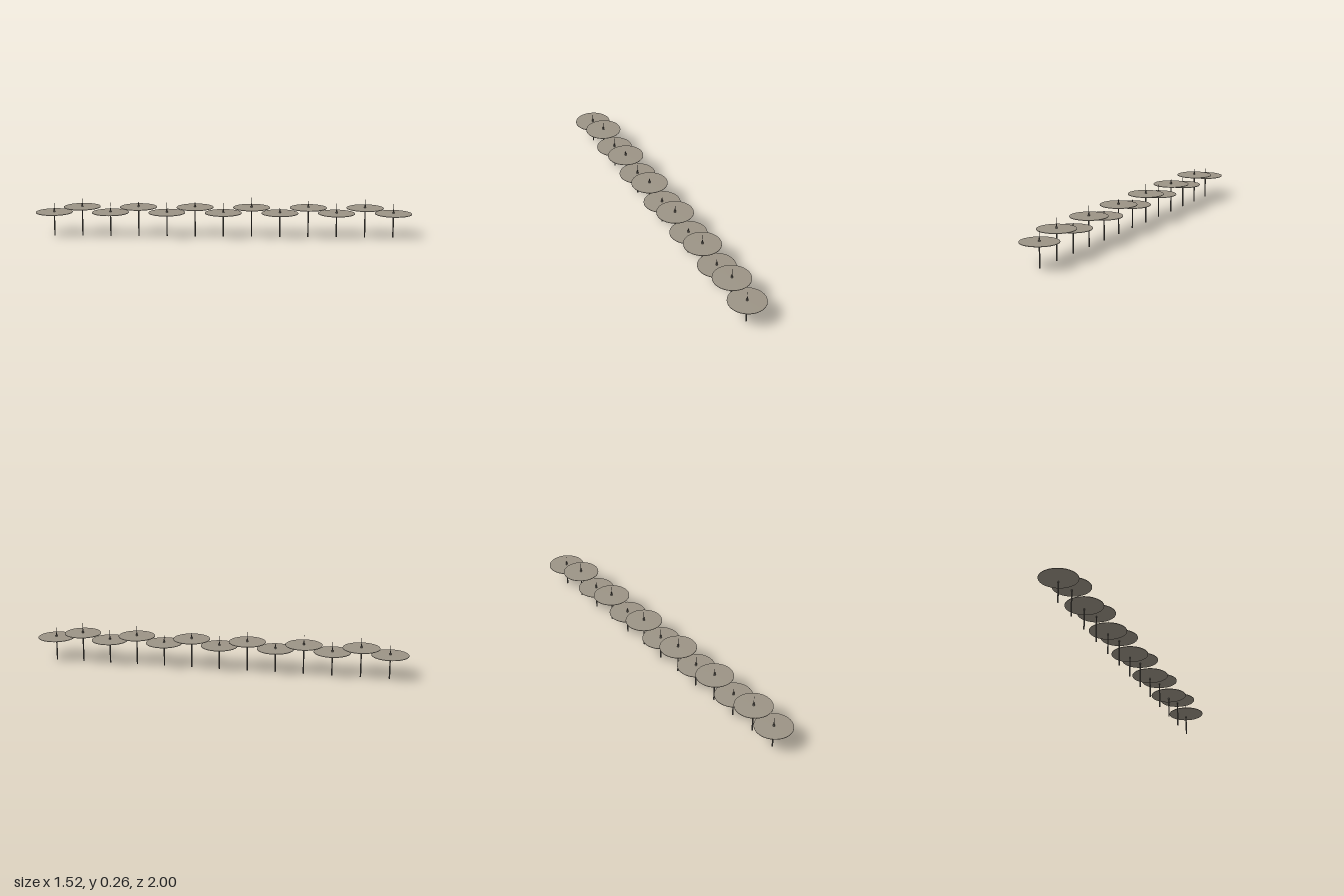
import * as THREE from 'three';

const COUNT = 13;
const STEP_X = 0.1067;
const STEP_Z = 0.1468;
const RADIUS = 0.118;

export function createModel() {
  const model = new THREE.Group();
  model.name = 'canopyRow';
  const canopyMat = new THREE.MeshStandardMaterial({ color: 0x9c9486 });
  const poleMat = new THREE.MeshStandardMaterial({ color: 0x6b665e });

  const add = (group, name, geometry, material, y) => {
    const mesh = new THREE.Mesh(geometry, material);
    mesh.name = name;
    mesh.position.y = y;
    group.add(mesh);
  };

  // Shallow inverted cone with a thin rim and a nearly flat top
  const canopyGeo = new THREE.LatheGeometry([
    [0, -0.022], [0.012, -0.021], [RADIUS, -0.003],
    [RADIUS, -0.003], [RADIUS, 0], [RADIUS, 0], [0, 0.001],
  ].map(([x, y]) => new THREE.Vector2(x, y)), 48);

  for (let i = 0; i < COUNT; i++) {
    const k = i - (COUNT - 1) / 2;
    const high = i % 2 === 1;
    const top = high ? 0.192 : 0.156;
    const tip = high ? 0.257 : 0.219;
    const umbrella = new THREE.Group();
    umbrella.name = 'canopy' + (i + 1);
    umbrella.position.set(k * STEP_X, 0, k * STEP_Z);

    // Post from the ground to the underside
    const postHeight = top - 0.012;
    add(umbrella, 'post', new THREE.CylinderGeometry(0.004, 0.0045, postHeight, 12), poleMat, postHeight / 2);
    add(umbrella, 'canopyDish', canopyGeo, canopyMat, top);

    // Tapered finial carrying a thin needle
    add(umbrella, 'finial', new THREE.CylinderGeometry(0.0015, 0.007, 0.03, 12), poleMat, top + 0.015);
    const needle = tip - top;
    add(umbrella, 'needle', new THREE.CylinderGeometry(0.0008, 0.0016, needle, 8), poleMat, top + needle / 2);
    model.add(umbrella);
  }
  return model;
}
